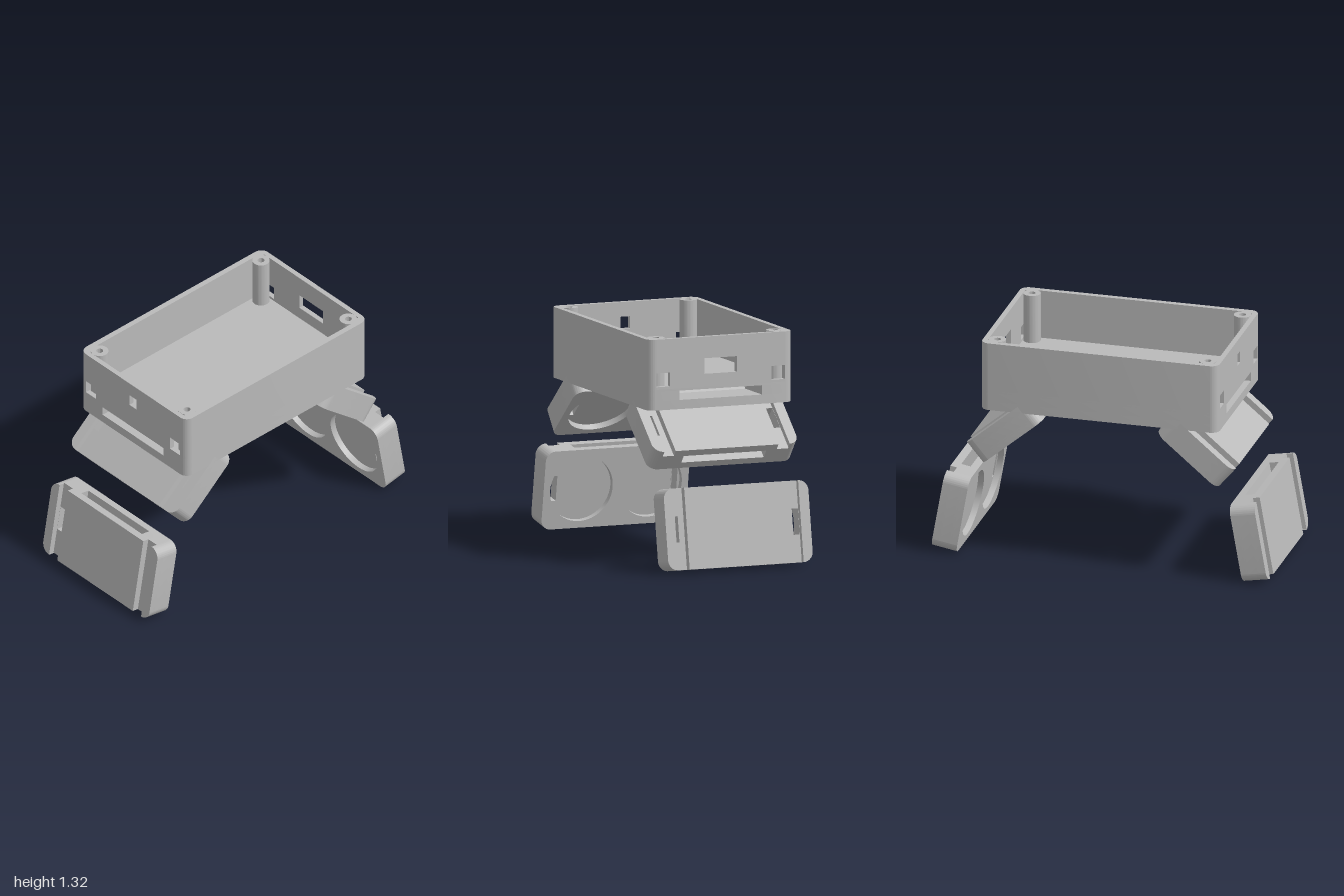
import * as THREE from 'three';
import { toCreasedNormals } from 'three/addons/utils/BufferGeometryUtils.js';

const grey = new THREE.MeshStandardMaterial({ color: 0xbababa });
grey.name = 'plain grey';

// Rectangle with a separate corner radius for its left and right ends
function rect(x0, x1, y0, y1, rl = 0, rr = 0) {
  const s = new THREE.Shape();
  s.moveTo(x0 + rl, y0);
  s.lineTo(x1 - rr, y0);
  if (rr) s.absarc(x1 - rr, y0 + rr, rr, -Math.PI / 2, 0);
  s.lineTo(x1, y1 - rr);
  if (rr) s.absarc(x1 - rr, y1 - rr, rr, 0, Math.PI / 2);
  s.lineTo(x0 + rl, y1);
  if (rl) s.absarc(x0 + rl, y1 - rl, rl, Math.PI / 2, Math.PI);
  s.lineTo(x0, y0 + rl);
  if (rl) s.absarc(x0 + rl, y0 + rl, rl, Math.PI, Math.PI * 1.5);
  return s;
}

function circle(x, y, r) {
  const s = new THREE.Shape();
  s.absarc(x, y, r, 0, Math.PI * 2);
  return s;
}

// Slab made by extruding a pierced outline from level a to level b
function slab(name, shape, a, b, holes = []) {
  shape.holes.push(...holes);
  const geo = new THREE.ExtrudeGeometry(shape, { depth: b - a, bevelEnabled: false, curveSegments: 24 });
  geo.translate(0, 0, a);
  const mesh = new THREE.Mesh(toCreasedNormals(geo, 0.5), grey);
  mesh.name = name;
  return mesh;
}

// Pad lying in its own xy plane, thickness along +z, outer face last
function createPad(name) {
  const pad = new THREE.Group();
  pad.name = name;
  const W = 0.45, H = 0.235, R = 0.06;
  const plate = () => rect(-W, W, -H, H, R, R);
  const slotHole = s => rect(s > 0 ? 0.355 : -0.394, s > 0 ? 0.394 : -0.355, -0.075, 0.075);
  // Piece along one end, from |x| = inner to the rounded edge
  const endPiece = (s, inner) => s > 0 ? rect(inner, W, -H, H, 0, R) : rect(-W, -inner, -H, H, R, 0);

  pad.add(slab('recessPlate', plate(), 0, 0.035, [circle(-0.215, 0, 0.195), circle(0.215, 0, 0.195)]));
  pad.add(slab('recessFloor', plate(), 0.035, 0.046, [slotHole(-1), slotHole(1)]));
  pad.add(slab('grooveFloor', plate(), 0.102, 0.11, [slotHole(-1), slotHole(1)]));
  pad.add(slab('centrePanel', rect(-0.32, 0.32, -H, H), 0.11, 0.15));
  for (const s of [-1, 1]) {
    // Solid ends beside the strap tunnel, and raised outer rails
    pad.add(slab('tunnelSide', endPiece(s, 0.257), 0.046, 0.102, [slotHole(s)]));
    pad.add(slab('edgeRail', endPiece(s, 0.395), 0.11, 0.15));
  }
  return pad;
}

// Open-topped box; built with height along z, then stood upright
function createCase() {
  const box = new THREE.Group();
  box.name = 'case';
  const X = 0.705, Z = 0.45, R = 0.05, floor = 1.03, top = 1.32;
  const plate = () => rect(-X, X, -Z, Z, R, R);

  // Floor with a strap tunnel running through it lengthwise
  box.add(slab('floorBottom', plate(), 0.91, 0.963));
  box.add(slab('floorTop', plate(), 1.017, floor));
  for (const s of [-1, 1]) {
    const bar = new THREE.Shape();
    bar.moveTo(-X, 0.257);
    bar.lineTo(X, 0.257);
    bar.lineTo(X, Z - R);
    bar.absarc(X - R, Z - R, R, 0, Math.PI / 2);
    bar.absarc(-X + R, Z - R, R, Math.PI / 2, Math.PI);
    const side = slab('tunnelSide', bar, 0.963, 1.017);

    // Long wall with its rounded outer corners
    const strip = new THREE.Shape();
    strip.moveTo(X, Z - R);
    strip.absarc(X - R, Z - R, R, 0, Math.PI / 2);
    strip.absarc(-X + R, Z - R, R, Math.PI / 2, Math.PI);
    strip.lineTo(-0.665, Z - R);
    strip.lineTo(-0.645, 0.417);
    strip.lineTo(0.645, 0.417);
    strip.lineTo(0.665, Z - R);
    const wall = slab('longWall', strip, floor, top);
    for (const m of [side, wall]) {
      if (s < 0) m.rotation.z = Math.PI;
      box.add(m);
    }

    // Screw bosses in the corners
    for (const t of [-1, 1]) {
      box.add(slab('screwBoss', circle(s * 0.625, t * 0.37, 0.05), floor, top,
        [circle(s * 0.625, t * 0.37, 0.02)]));
    }
  }
  box.rotation.x = -Math.PI / 2;
  return box;
}

// End wall with two outer ports, plus one central port
function createEndWall(name, side, port) {
  const wall = slab(name, rect(-0.4, 0.4, 1.03, 1.32), 0.675, 0.705, [
    rect(-0.399, -0.315, 1.045, 1.125),
    rect(0.315, 0.399, 1.045, 1.125),
    rect(...port),
  ]);
  wall.rotation.y = side * Math.PI / 2;
  return wall;
}

export function createModel() {
  const model = new THREE.Group();
  model.name = 'caseWithPads';
  model.add(createCase());
  model.add(createEndWall('leftEndWall', 1, [-0.1, 0.1, 1.105, 1.195]));
  model.add(createEndWall('rightEndWall', -1, [-0.03, 0.03, 1.165, 1.235]));

  // Two tilted pads on each side, the right pair turned half round
  for (const side of ['left', 'right']) {
    const pair = new THREE.Group();
    pair.name = side + 'Pads';
    for (const [name, x, y, deg] of [['upperPad', 0.521, 0.72, 50], ['lowerPad', 0.811, 0.232, 10]]) {
      const pad = createPad(name);
      pad.position.set(x, y, 0);
      pad.rotation.set(0, Math.PI / 2, THREE.MathUtils.degToRad(deg), 'ZYX');
      pair.add(pad);
    }
    if (side === 'right') pair.rotation.y = Math.PI;
    model.add(pair);
  }
  return model;
}
